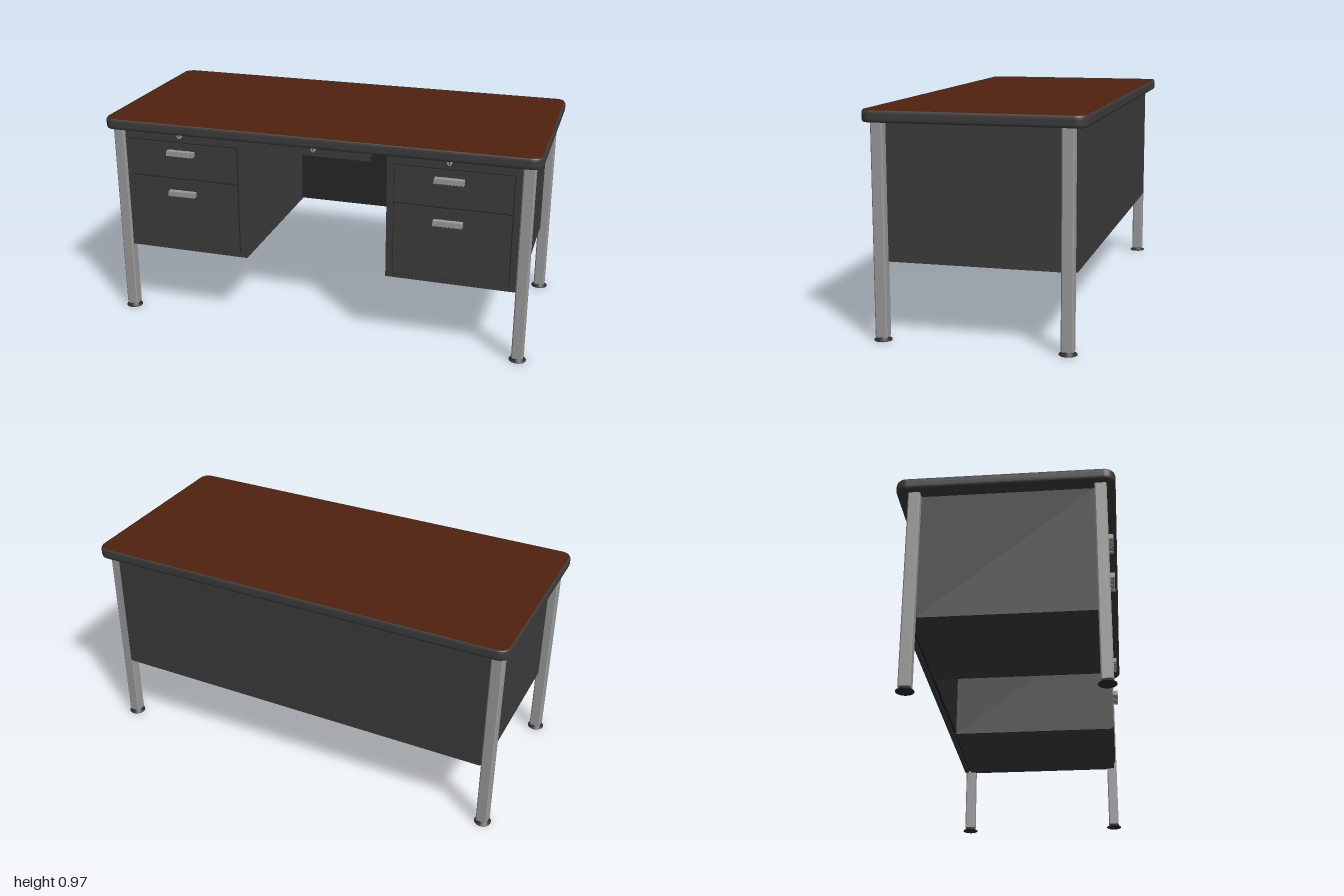
import * as THREE from 'three';

const mat = (name, color) => new THREE.MeshStandardMaterial({ name, color });

export function createModel() {
  const desk = new THREE.Group();
  desk.name = 'desk';
  const charcoal = mat('charcoal paint', 0x3c3c3c);
  const shadowGap = mat('dark seam', 0x262626);
  const steel = mat('brushed steel', 0x9a9a9a);
  const wood = mat('brown laminate', 0x50210e);
  const rubber = mat('black foot', 0x2c2c2c);

  const add = (name, geo, material, x = 0, y = 0, z = 0, parent = desk) => {
    const m = new THREE.Mesh(geo, material);
    m.name = name;
    m.position.set(x, y, z);
    parent.add(m);
    return m;
  };
  // Box given by its limits on each axis
  const box = (name, material, x0, x1, y0, y1, z0, z1, parent) =>
    add(name, new THREE.BoxGeometry(x1 - x0, y1 - y0, z1 - z0), material,
      (x0 + x1) / 2, (y0 + y1) / 2, (z0 + z1) / 2, parent);

  const roundedRect = (w, d, r) => {
    const s = new THREE.Shape();
    s.absarc(w - r, d - r, r, 0, Math.PI / 2);
    s.absarc(-w + r, d - r, r, Math.PI / 2, Math.PI);
    s.absarc(-w + r, -d + r, r, Math.PI, Math.PI * 1.5);
    s.absarc(w - r, -d + r, r, Math.PI * 1.5, Math.PI * 2);
    return s;
  };

  // Desk top with softly rounded rim and a laminate sheet
  const rim = new THREE.ExtrudeGeometry(roundedRect(0.992, 0.459, 0.042), {
    depth: 0.018, bevelThickness: 0.016, bevelSize: 0.008, bevelSegments: 4, curveSegments: 8,
  });
  rim.rotateX(-Math.PI / 2);
  add('topRim', rim, charcoal, 0, 0.935, 0);
  const sheet = new THREE.ExtrudeGeometry(roundedRect(0.993, 0.46, 0.043), {
    depth: 0.003, bevelEnabled: false, curveSegments: 8,
  });
  sheet.rotateX(-Math.PI / 2);
  add('topLaminate', sheet, wood, 0, 0.967, 0);

  // Legs: square posts with narrow chamfered corners on flared feet
  const h = 0.026, c = 0.005;
  const post = new THREE.Shape([[h, -h + c], [h, h - c], [h - c, h], [-h + c, h],
    [-h, h - c], [-h, -h + c], [-h + c, -h], [h - c, -h]].map(p => new THREE.Vector2(...p)));
  const legGeo = new THREE.ExtrudeGeometry(post, { depth: 0.905, bevelEnabled: false });
  legGeo.rotateX(-Math.PI / 2);
  const footGeo = new THREE.LatheGeometry([[0, 0], [0.038, 0], [0.038, 0.003], [0.024, 0.011],
    [0.024, 0.017], [0, 0.017]].map(p => new THREE.Vector2(...p)), 20);
  for (const x of [-0.943, 0.943]) {
    for (const z of [-0.388, 0.403]) {
      add('leg', legGeo, steel, x, 0.016, z);
      add('foot', footGeo, rubber, x, 0, z);
    }
  }

  // Back modesty panel
  box('backPanel', charcoal, -0.918, 0.918, 0.334, 0.922, -0.42, -0.4);
  box('backPanelSeam', shadowGap, -0.91, 0.91, 0.34, 0.922, -0.4, -0.385);

  // Key lock: barrel with a dark slot
  const lockGeo = new THREE.CylinderGeometry(0.011, 0.011, 0.014, 16);
  lockGeo.rotateX(Math.PI / 2);
  const lock = x => {
    add('lock', lockGeo, steel, x, 0.902, 0.422);
    box('keySlot', shadowGap, x - 0.0015, x + 0.0015, 0.896, 0.908, 0.428, 0.43);
  };

  // Drawer pull: back plate, projecting bar and fine ribs
  const handle = (x, y) => {
    const g = new THREE.Group();
    g.name = 'handle';
    g.position.set(x, y, 0);
    desk.add(g);
    box('pull', steel, -0.065, 0.065, -0.011, 0.011, 0.422, 0.447, g);
    for (let i = 0; i < 9; i++) {
      const rx = -0.06 + i * 0.015;
      box('rib', steel, rx - 0.004, rx + 0.004, -0.012, 0.012, 0.423, 0.45, g);
    }
  };

  // Drawer front on a thin dark reveal
  const drawer = (x0, x1, y0, y1) => {
    box('drawerReveal', shadowGap, x0 - 0.004, x1 + 0.004, y0 - 0.004, y1 + 0.004, 0.412, 0.4175);
    box('drawerFront', charcoal, x0, x1, y0, y1, 0.412, 0.423);
  };

  // Pedestals, with matching drawers on both sides
  for (const s of [-1, 1]) {
    const span = (a, b) => (s > 0 ? [a, b] : [-b, -a]);
    box('pedestal', charcoal, ...span(0.332, 0.916), 0.334, 0.922, -0.388, 0.416);
    box('sidePanel', charcoal, ...span(0.914, 0.93), 0.334, 0.922, -0.365, 0.38);
    drawer(...span(0.367, 0.884), 0.7, 0.867);
    drawer(...span(0.367, 0.884), 0.358, 0.69);
    const hx = s > 0 ? 0.61 : -0.635;
    handle(hx, 0.823);
    handle(hx, 0.628);
    lock(s > 0 ? 0.606 : -0.64);
  }

  // Shallow centre drawer over the kneehole
  box('centreDrawer', charcoal, -0.245, 0.245, 0.875, 0.922, -0.05, 0.41);
  box('centreDrawerFront', charcoal, -0.255, 0.255, 0.871, 0.922, 0.405, 0.42);
  lock(0);

  return desk;
}
